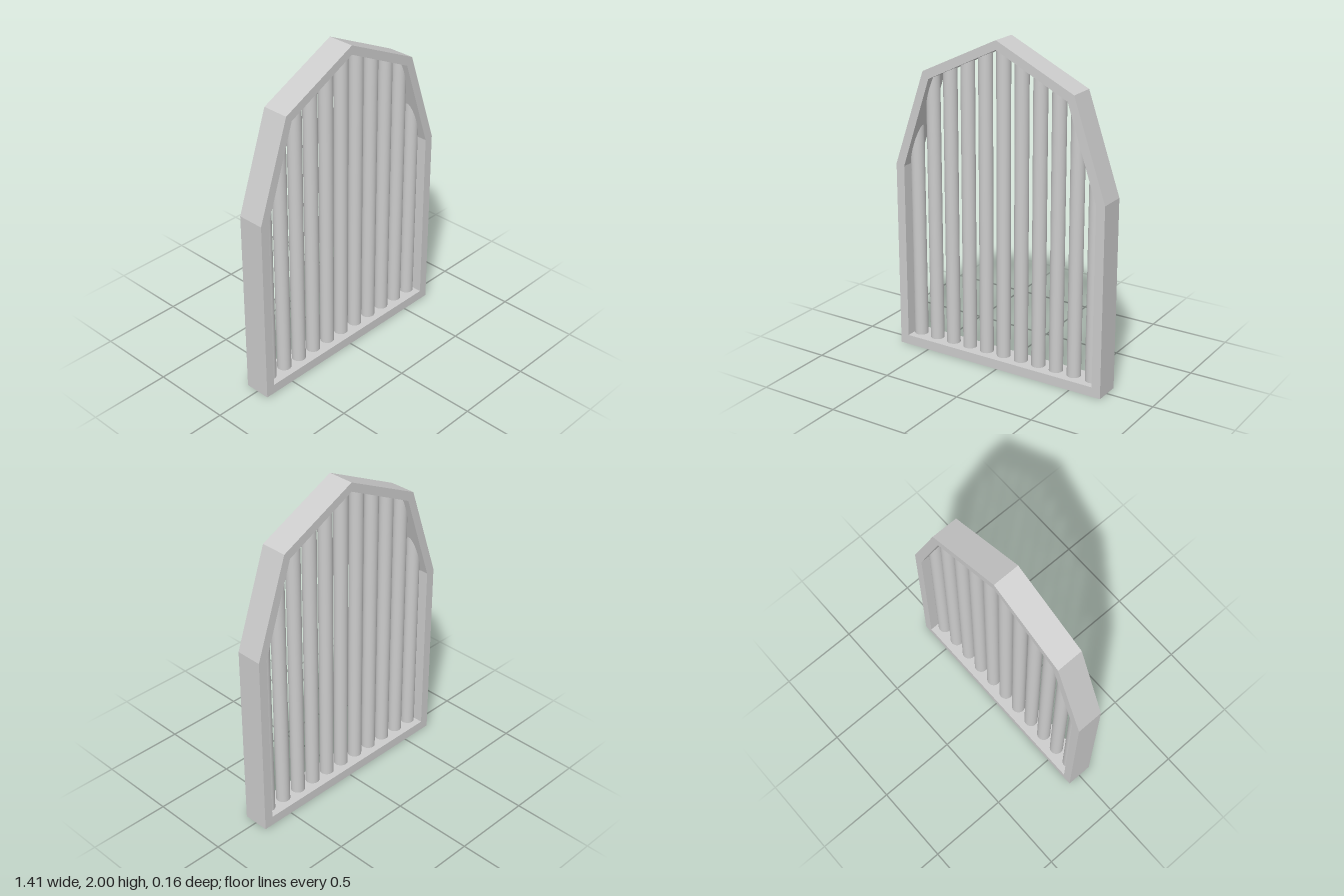
import * as THREE from 'three';

const DEPTH = 0.164;
const OUTER = [[0.705, 0], [0.705, 1.17], [0.5, 1.76], [0, 2]]; // right half, bottom to apex
const INNER = OUTER.map(([x, y]) => [x * 0.92, 0.06 + y * 0.9425]);

// Mirror a half profile into a closed, symmetric outline
function outline(half) {
  const mirrored = half.slice(0, -1).reverse().map(([x, y]) => [-x, y]);
  return [...half, ...mirrored].map(([x, y]) => new THREE.Vector2(x, y));
}

// Height of the opening above a given x
function openingTop(x) {
  const ax = Math.min(Math.abs(x), INNER[1][0]);
  const [a, b] = ax > INNER[2][0] ? [INNER[1], INNER[2]] : [INNER[2], INNER[3]];
  return b[1] + (a[1] - b[1]) * (ax - b[0]) / (a[0] - b[0]);
}

// Round bar whose upper end is cut to follow the frame
function makeBar(x, material) {
  const radius = 0.042, bottom = 0.05, embed = 0.008;
  const geometry = new THREE.CylinderGeometry(radius, radius, 1, 32, 1, true);
  const pos = geometry.attributes.position;
  for (let i = 0; i < pos.count; i++) {
    const px = pos.getX(i) + x;
    pos.setXYZ(i, px, pos.getY(i) > 0 ? openingTop(px) + embed : bottom, pos.getZ(i));
  }
  return new THREE.Mesh(geometry, material);
}

export function createModel() {
  const group = new THREE.Group();
  group.name = 'barredWindow';
  const material = new THREE.MeshStandardMaterial({ color: 0xcccccc });

  // Pointed frame with a matching opening
  const shape = new THREE.Shape(outline(OUTER));
  shape.holes.push(new THREE.Path(outline(INNER)));
  const frameGeometry = new THREE.ExtrudeGeometry(shape, { depth: DEPTH, bevelEnabled: false });
  frameGeometry.translate(0, 0, -DEPTH / 2);
  const frame = new THREE.Mesh(frameGeometry, material);
  frame.name = 'frame';
  group.add(frame);

  // Eleven evenly spaced vertical bars
  const bars = new THREE.Group();
  bars.name = 'bars';
  for (let i = -5; i <= 5; i++) {
    const bar = makeBar(i * 0.1213, material);
    bar.name = `bar${i + 6}`;
    bars.add(bar);
  }
  group.add(bars);

  return group;
}
